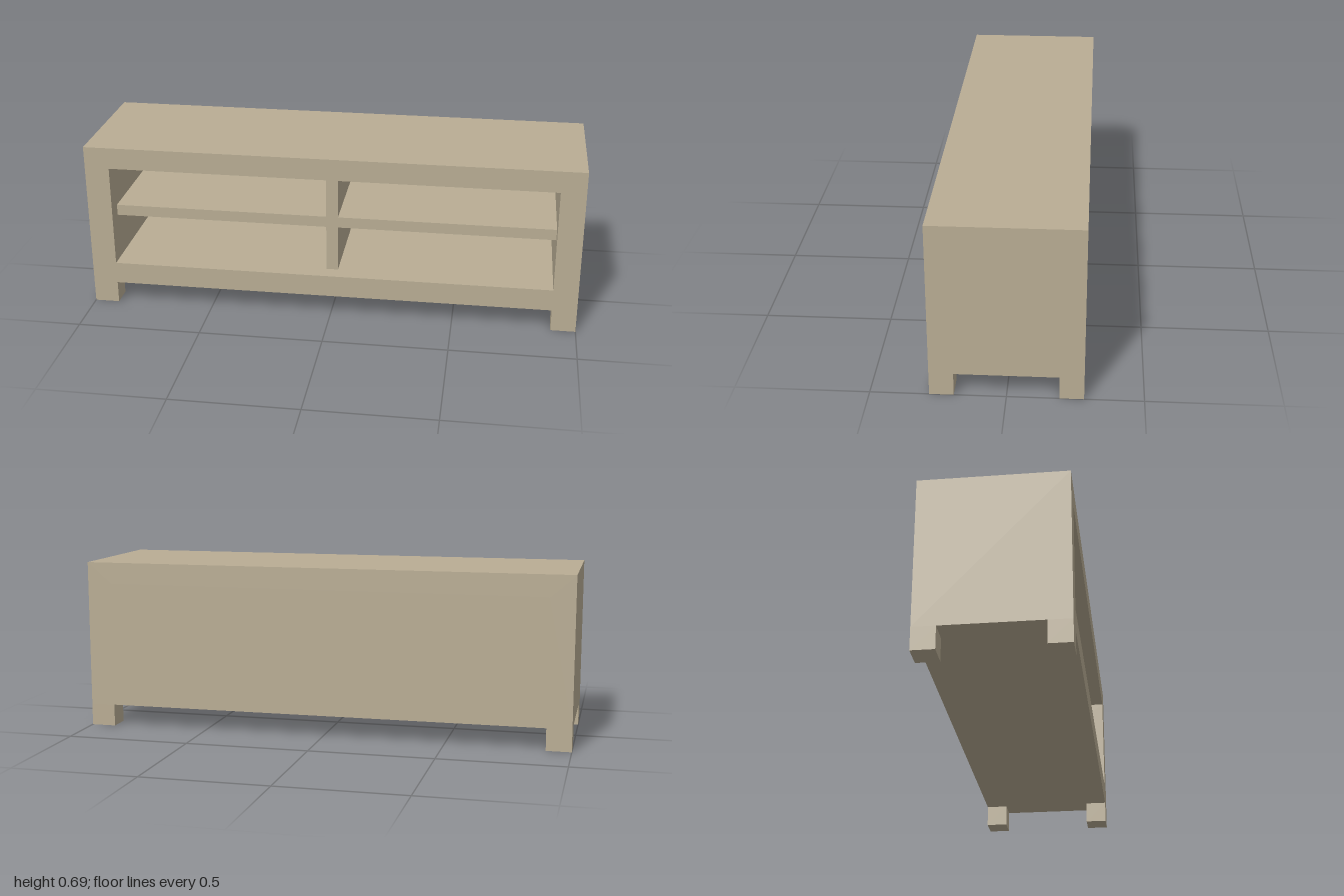
import * as THREE from 'three';

export function createModel() {
  const group = new THREE.Group();
  const wood = new THREE.MeshStandardMaterial({ color: 0xb9ad94 });
  wood.name = 'paleWood';

  const add = (name, geometry, x, y, z) => {
    const mesh = new THREE.Mesh(geometry, wood);
    mesh.name = name;
    mesh.position.set(x, y, z);
    group.add(mesh);
  };
  // Box given by its lower and upper corners
  const box = (name, [x0, y0, z0], [x1, y1, z1]) =>
    add(name, new THREE.BoxGeometry(x1 - x0, y1 - y0, z1 - z0),
      (x0 + x1) / 2, (y0 + y1) / 2, (z0 + z1) / 2);
  const rect = (path, x, y0, y1) =>
    path.moveTo(-x, y0).lineTo(x, y0).lineTo(x, y1).lineTo(-x, y1).closePath();

  const depth = 0.282, inner = 0.9, base = 0.09, top = 0.69;
  const floor = 0.18, ceiling = 0.602;
  const backInner = -depth + 0.05, shelfFront = depth - 0.067;

  // Carcass: top, bottom and sides around the open front
  const outline = rect(new THREE.Shape(), 1, base, top);
  outline.holes.push(rect(new THREE.Path(), inner, floor, ceiling));
  add('carcass', new THREE.ExtrudeGeometry(outline, { depth: depth * 2, bevelEnabled: false }), 0, 0, -depth);

  // Back panel closing the opening
  box('backPanel', [-inner, floor, -depth], [inner, ceiling, backInner]);

  // Shelf and divider, set back from the front
  const shelfLow = 0.37, shelfHigh = 0.415, half = 0.024;
  for (const s of [-1, 1]) {
    const [a, b] = s < 0 ? [-inner, -half] : [half, inner];
    box(s < 0 ? 'rightShelf' : 'leftShelf', [a, shelfLow, backInner], [b, shelfHigh, shelfFront]);
  }
  box('divider', [-half, floor, backInner], [half, ceiling, shelfFront]);

  // Corner legs
  for (const sx of [-1, 1]) {
    for (const sz of [-1, 1]) {
      add(`${sz > 0 ? 'front' : 'back'}${sx > 0 ? 'Left' : 'Right'}Leg`,
        new THREE.BoxGeometry(0.1, base, 0.09), sx * 0.95, base / 2, sz * (depth - 0.045));
    }
  }
  return group;
}
